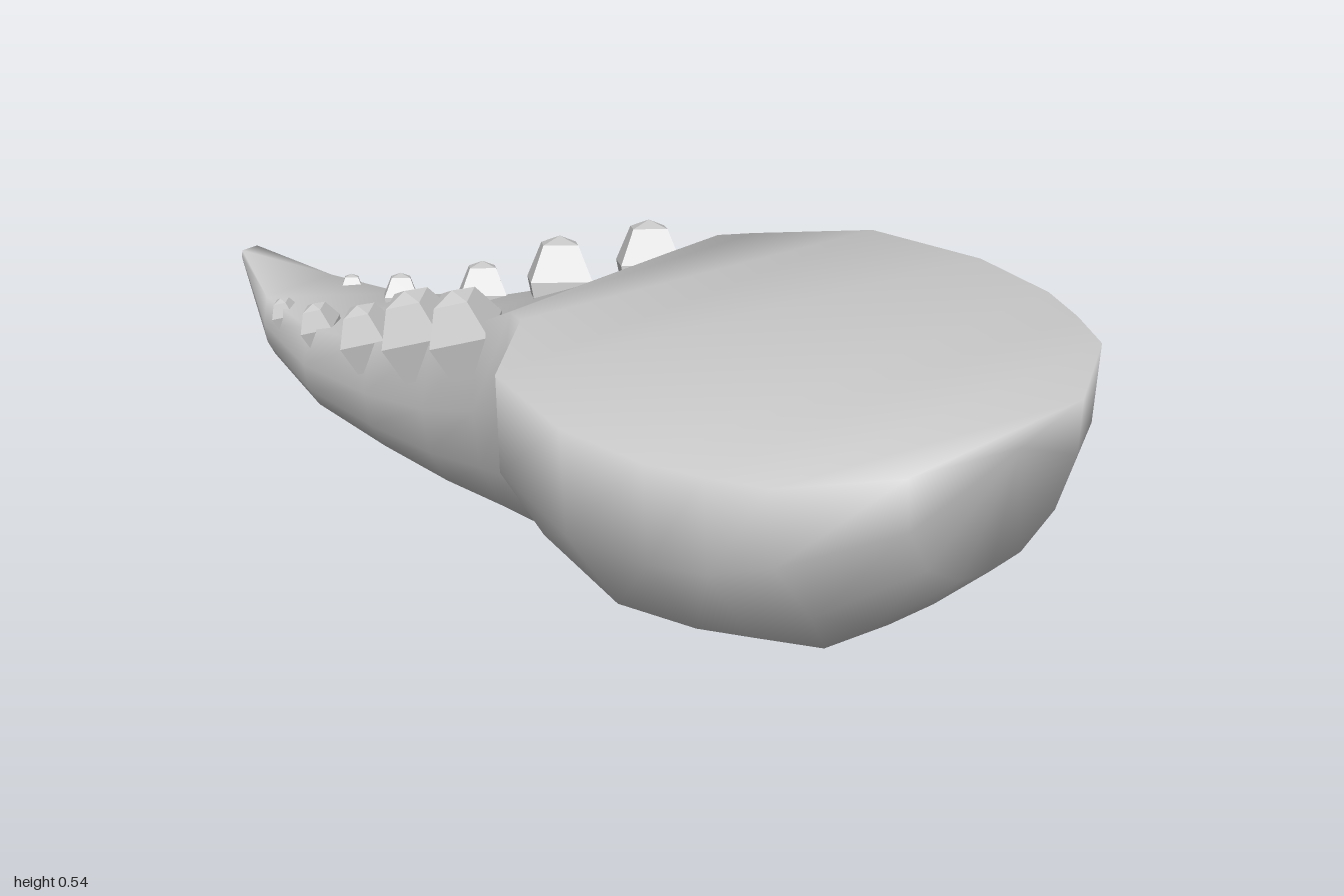
import * as THREE from 'three';
import { mergeVertices } from 'three/addons/utils/BufferGeometryUtils.js';

const material = new THREE.MeshStandardMaterial({ color: 0xcccccc });
const flatMaterial = new THREE.MeshStandardMaterial({ color: 0xcccccc, flatShading: true });

// Half cross-sections from top edge to keel: [width factor, height factor]
const BOWL = [[1, 1], [0.97, 0.59], [0.74, 0.24], [0.35, 0.035], [0, 0]];
const FINGER = [[0.9, 1], [1, 0.62], [0.93, 0.35], [0.74, 0.14], [0, 0]];

// Stations along the claw: [z, half width, bottom y, top y, blend bowl -> finger]
const STATIONS = [
  [1, 0, 0.54, 0.54, 0],
  [0.955, 0.2, 0.305, 0.54, 0],
  [0.84, 0.38, 0.195, 0.54, 0],
  [0.745, 0.43, 0.115, 0.54, 0],
  [0.65, 0.467, 0.095, 0.54, 0],
  [0.48, 0.485, 0.065, 0.54, 0],
  [0.27, 0.44, 0.1, 0.54, 0.1],
  [0.14, 0.29, 0.06, 0.54, 0.7],
  [0.08, 0.268, 0.045, 0.525, 1],
  [-0.02, 0.245, 0.035, 0.465, 1],
  [-0.2, 0.213, 0.018, 0.355, 1],
  [-0.42, 0.172, 0.005, 0.262, 1],
  [-0.66, 0.13, 0, 0.197, 1],
  [-0.84, 0.088, 0.04, 0.187, 1],
  [-1, 0.02, 0.185, 0.215, 1],
];

// Loft through the stations with a flat upper side
function bodyGeometry() {
  const positions = [], index = [];
  const n = BOWL.length * 2 - 1;
  for (const [z, w, bottom, top, t] of STATIONS) {
    for (let j = 0; j < n; j++) {
      const k = Math.min(j, n - 1 - j);
      const side = j < BOWL.length ? 1 : -1;
      const fx = THREE.MathUtils.lerp(BOWL[k][0], FINGER[k][0], t);
      const fy = THREE.MathUtils.lerp(BOWL[k][1], FINGER[k][1], t);
      positions.push(side * w * fx, bottom + (top - bottom) * fy, z);
    }
  }
  for (let i = 0; i < STATIONS.length - 1; i++) {
    for (let j = 0; j < n; j++) {
      const a = i * n + j, b = i * n + (j + 1) % n;
      index.push(a, b, a + n, b, b + n, a + n);
    }
  }
  // Blunt tip
  const last = (STATIONS.length - 1) * n;
  for (let j = 1; j < n - 1; j++) index.push(last, last + j, last + j + 1);

  const geometry = new THREE.BufferGeometry();
  geometry.setAttribute('position', new THREE.Float32BufferAttribute(positions, 3));
  geometry.setIndex(index);
  const merged = mergeVertices(geometry);
  merged.computeVertexNormals();
  return merged;
}

// Four-sided stubby tooth with a bulged waist and low point
const TOOTH = new THREE.LatheGeometry(
  [[0, -1], [0.72, -0.95], [0.98, 0], [0.55, 0.8], [0, 0.98]].map(([x, y]) => new THREE.Vector2(x, y)), 4);

// [x, y, z, radius]
const TEETH = [
  [0.215, 0.43, -0.07, 0.079],
  [0.168, 0.347, -0.26, 0.082],
  [0.138, 0.263, -0.447, 0.063],
  [0.098, 0.202, -0.645, 0.046],
  [0.081, 0.175, -0.778, 0.032],
];

export function createModel() {
  const group = new THREE.Group();
  group.name = 'clawHalf';

  const body = new THREE.Mesh(bodyGeometry(), material);
  body.name = 'clawBody';
  group.add(body);

  // Mirrored rows of teeth along both upper edges, leaning outward and back
  for (const side of [1, -1]) {
    const row = new THREE.Group();
    row.name = side > 0 ? 'leftTeeth' : 'rightTeeth';
    TEETH.forEach(([x, y, z, r], i) => {
      const tooth = new THREE.Mesh(TOOTH, flatMaterial);
      tooth.name = `tooth${i + 1}`;
      tooth.position.set(side * x, y, z);
      tooth.rotation.set(-0.2, side * 0.15, -side * 0.2);
      tooth.scale.setScalar(r);
      row.add(tooth);
    });
    group.add(row);
  }
  return group;
}
